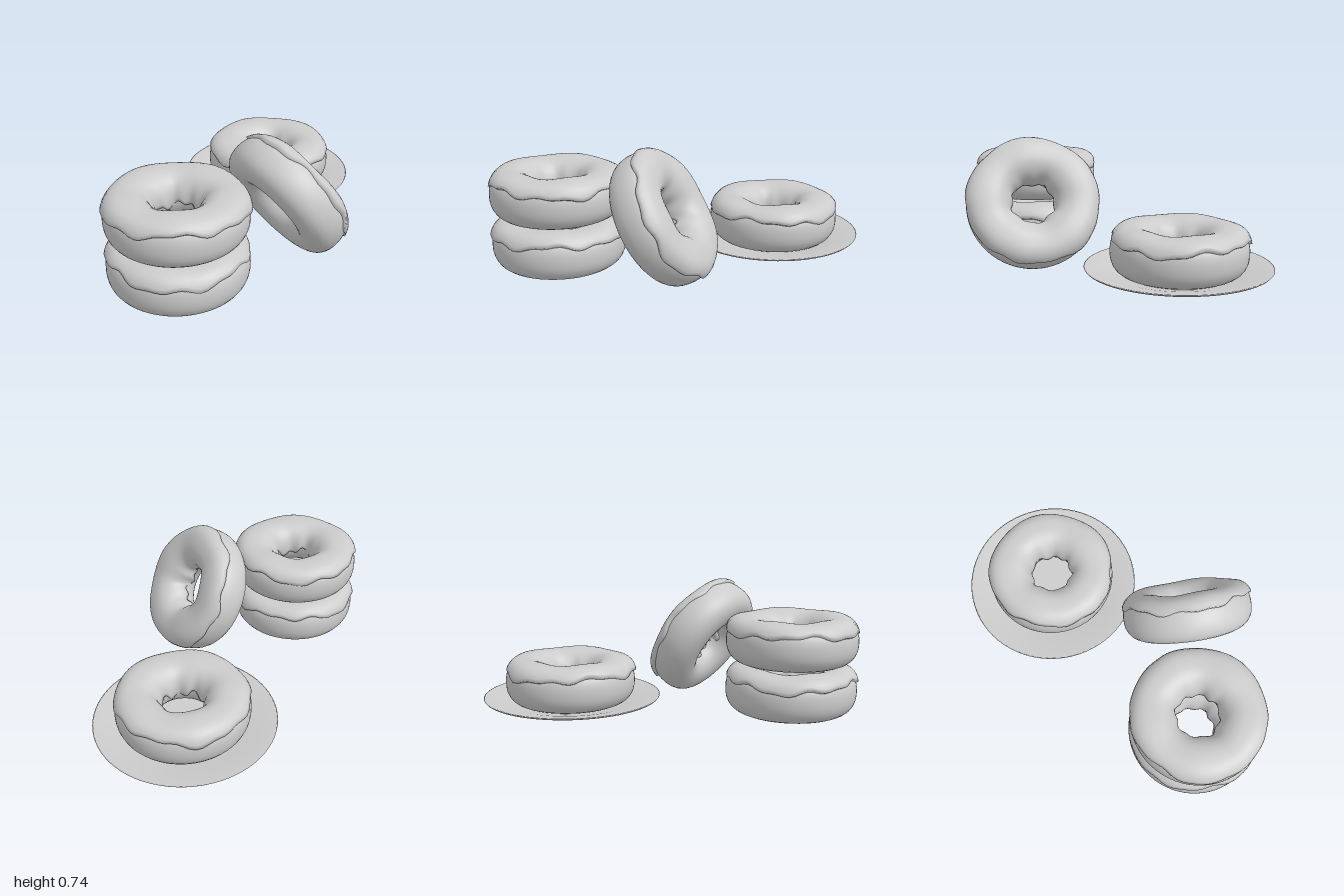
import * as THREE from 'three';

const material = new THREE.MeshStandardMaterial({ color: 0xcccccc, side: THREE.DoubleSide });
const RING = 0.258, TUBE_W = 0.126, TUBE_H = 0.131;

// Point on the tube outline: angle 0 is the outer rim, PI/2 the top, PI the hole
function outline(angle, grow, power) {
  const c = Math.cos(angle), s = Math.sin(angle);
  const n = c > 0 ? power : 2.1;
  const k = Math.pow(Math.pow(Math.abs(c), n) + Math.pow(Math.abs(s), n), -1 / n);
  return [RING + c * k * (TUBE_W + grow), s * k * (TUBE_H + grow)];
}

// Surface swept around y; pointAt(u, j) gives [radius, height], and u wraps round
function sweep(around, across, pointAt, closed) {
  const pos = [], index = [];
  const cols = closed ? across : across + 1;
  for (let i = 0; i < around; i++) {
    const u = (i / around) * Math.PI * 2;
    for (let j = 0; j < cols; j++) {
      const [r, y] = pointAt(u, j);
      pos.push(r * Math.cos(u), y, r * Math.sin(u));
    }
  }
  for (let i = 0; i < around; i++) {
    const n = (i + 1) % around;
    for (let j = 0; j < across; j++) {
      const k = (j + 1) % cols;
      const a = i * cols + j, b = n * cols + j, c = n * cols + k, d = i * cols + k;
      index.push(a, d, c, a, c, b);
    }
  }
  const geo = new THREE.BufferGeometry();
  geo.setAttribute('position', new THREE.Float32BufferAttribute(pos, 3));
  geo.setIndex(index);
  geo.computeVertexNormals();
  return geo;
}

function addMesh(parent, geo, name) {
  const mesh = new THREE.Mesh(geo, material);
  mesh.name = name;
  parent.add(mesh);
}

function createDonut(name, seed) {
  const donut = new THREE.Group();
  donut.name = name;

  // Plain ring of dough
  const dough = sweep(64, 32, (u, j) => outline((j / 32) * Math.PI * 2, 0, 2.4), true);
  addMesh(donut, dough, 'dough');

  // Icing cap with uneven edges, tucked into the dough at both ends
  const steps = 22;
  const wave = (u, f) => Math.sin(u * f + seed * (f + 1.3));
  const icing = sweep(72, steps, (u, j) => {
    const drip = 0.09 * wave(u, 3) + 0.07 * wave(u, 7) + 0.05 * wave(u, 13);
    const start = 0.5 - drip;
    const end = Math.PI + 0.15 + 0.14 * wave(u, 4) + 0.1 * wave(u, 9);
    const t = Math.min(Math.max((j - 1) / (steps - 2), 0), 1);
    const edge = j === 0 || j === steps;
    const grow = edge ? -0.012 : 0.009 + 0.004 * wave(u, 5);
    const p = outline(start + t * (end - start), grow, 2.9);
    // Slightly angular hole
    if (t > 0.6) p[0] += 0.008 * wave(u, 8) * (t - 0.6) / 0.4;
    return p;
  }, false);
  addMesh(donut, icing, 'icing');
  return donut;
}

function createPlate() {
  const profile = [
    [0, 0.004], [0.235, 0.004], [0.25, 0.008], [0.29, 0.022], [0.34, 0.036], [0.43, 0.06],
    [0.52, 0.08], [0.525, 0.086], [0.518, 0.089], [0.42, 0.073], [0.33, 0.052], [0.27, 0.04], [0, 0.04],
  ].map(([r, y]) => new THREE.Vector2(r, y));
  const plate = new THREE.Group();
  plate.name = 'plate';
  addMesh(plate, new THREE.LatheGeometry(profile, 72), 'dish');
  return plate;
}

export function createModel() {
  const model = new THREE.Group();
  model.name = 'donuts';

  const plate = createPlate();
  plate.position.set(0.295, -0.003, -0.475);
  model.add(plate);

  const place = (name, seed, x, y, z) => {
    const donut = createDonut(name, seed);
    donut.position.set(x, y, z);
    model.add(donut);
    return donut;
  };
  place('plateDonut', 1.7, 0.305, 0.173, -0.48);
  place('lowerStackDonut', 0.6, -0.43, 0.142, 0.605);
  place('upperStackDonut', 2.9, -0.43, 0.435, 0.605);

  // Donut leaning against the stack, icing turned outward
  const leaning = place('leaningDonut', 4.2, 0.205, 0.366, 0.403);
  const facing = new THREE.Vector3(0.78, 0.51, -0.36).normalize();
  leaning.quaternion.setFromUnitVectors(new THREE.Vector3(0, 1, 0), facing);
  return model;
}
